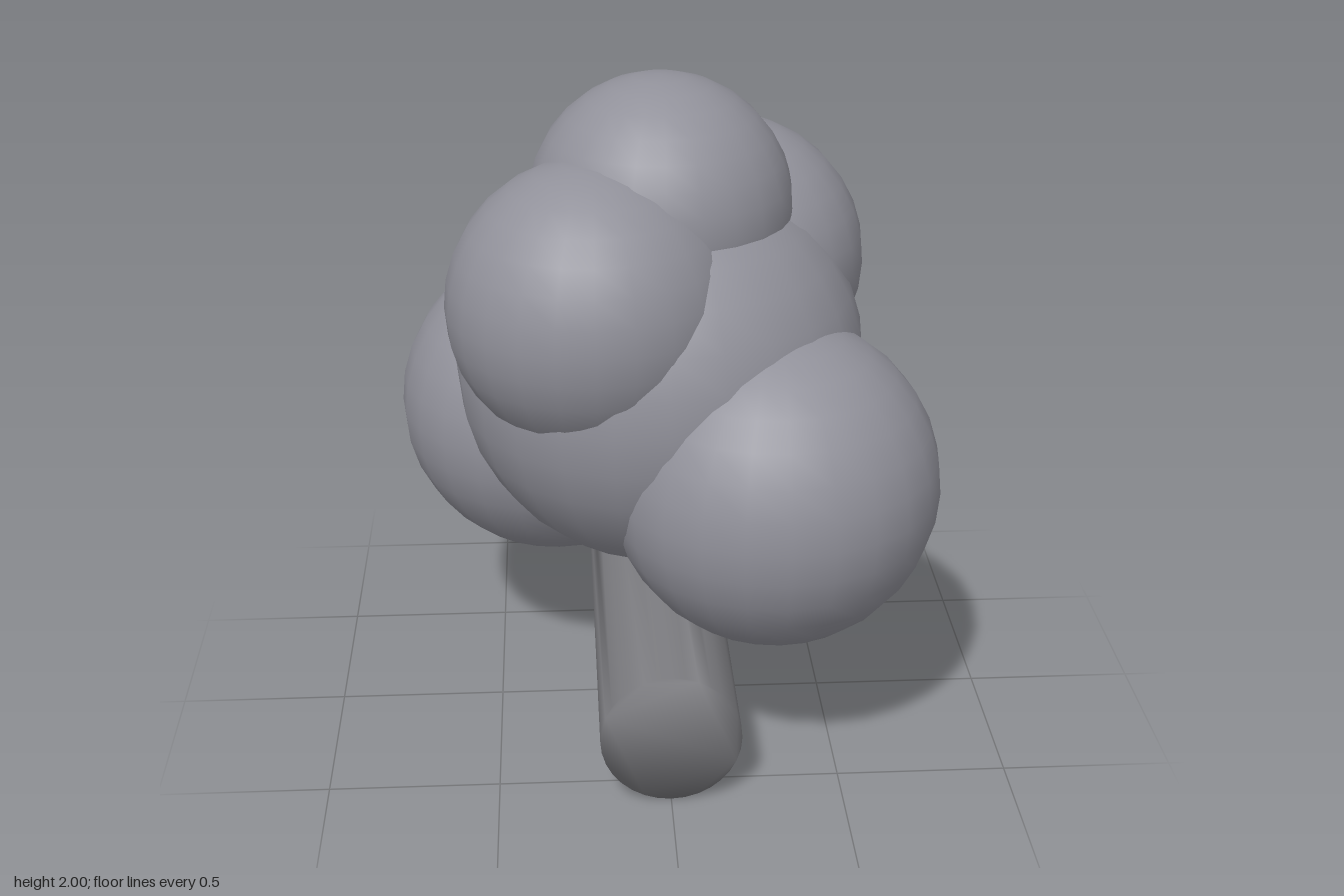
import * as THREE from 'three';
import { mergeVertices } from 'three/addons/utils/BufferGeometryUtils.js';

const foliageMaterial = new THREE.MeshStandardMaterial({ color: 0x91919a });
const trunkMaterial = new THREE.MeshStandardMaterial({ color: 0x7c7c80 });

function addBall(group, name, radius, x, y, z) {
  const mesh = new THREE.Mesh(new THREE.SphereGeometry(radius, 24, 16), foliageMaterial);
  mesh.name = name;
  mesh.position.set(x, y, z);
  group.add(mesh);
}

// Round bar along z, centred, with normals smoothed across the end caps
function smoothBar(radius, length) {
  const circle = new THREE.Shape().absarc(0, 0, radius, 0, Math.PI * 2);
  const bar = new THREE.ExtrudeGeometry(circle, { depth: length, bevelEnabled: false, curveSegments: 16 });
  bar.translate(0, 0, -length / 2);
  bar.deleteAttribute('normal');
  bar.deleteAttribute('uv');
  const merged = mergeVertices(bar);
  merged.clearGroups();
  merged.computeVertexNormals();
  return merged;
}

export function createModel() {
  const group = new THREE.Group();
  group.name = 'treeWithLog';

  // Trunk lying along z
  const trunk = new THREE.Mesh(smoothBar(0.205, 1.2), trunkMaterial);
  trunk.name = 'trunk';
  trunk.position.y = 0.205;
  group.add(trunk);

  // Foliage: large core and crown on the axis
  addBall(group, 'foliageCore', 0.6, 0, 1.145, 0);
  addBall(group, 'foliageCrown', 0.382, 0, 1.618, 0);

  // Low clumps on one diagonal, high clumps on the other
  for (const [side, s] of [['Front', 1], ['Back', -1]]) {
    addBall(group, 'lowerClump' + side, 0.477, 0.31 * s, 0.89, 0.31 * s);
    addBall(group, 'upperClump' + side, 0.417, -0.2 * s, 1.396, 0.2 * s);
  }
  return group;
}
